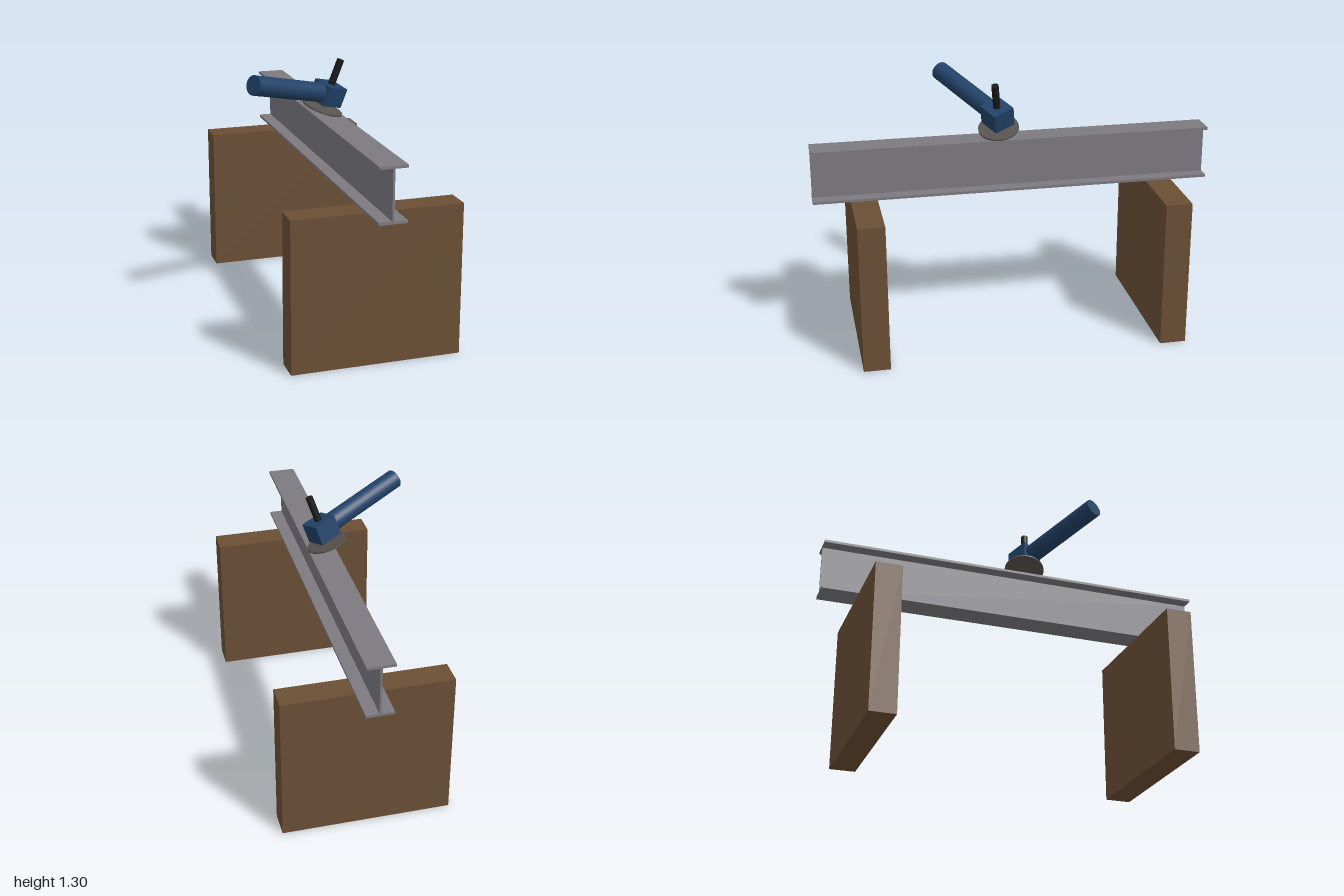
import * as THREE from 'three';

const material = (name, color) => {
  const m = new THREE.MeshStandardMaterial({ color });
  m.name = name;
  return m;
};

export function createModel() {
  const wood = material('brown wood', 0x6b4f35);
  const steel = material('grey steel', 0x7c7a80);
  const blue = material('blue casing', 0x224268);
  const black = material('black grip', 0x1b1b1b);
  const abrasive = material('abrasive disc', 0x58534e);

  const model = new THREE.Group();
  model.name = 'beamAndGrinder';

  const add = (parent, name, geometry, mat, x, y, z) => {
    const mesh = new THREE.Mesh(geometry, mat);
    mesh.name = name;
    mesh.position.set(x, y, z);
    parent.add(mesh);
    return mesh;
  };

  // Two slab supports
  for (const side of [1, -1]) {
    add(model, side > 0 ? 'frontSupport' : 'backSupport',
      new THREE.BoxGeometry(0.832, 0.751, 0.132), wood, 0.021, 0.3755, side * 0.75);
  }

  // I-beam: one section extruded along z
  const half = 0.068, web = 0.005, bottom = 0.751, top = 1.018, flange = 0.013;
  const section = new THREE.Shape([
    [-half, bottom], [half, bottom], [half, bottom + flange], [web, bottom + flange],
    [web, top - flange], [half, top - flange], [half, top], [-half, top],
    [-half, top - flange], [-web, top - flange], [-web, bottom + flange], [-half, bottom + flange],
  ].map(([x, y]) => new THREE.Vector2(x, y)));
  add(model, 'steelBeam',
    new THREE.ExtrudeGeometry(section, { depth: 2, bevelEnabled: false }), steel, 0.021, 0, -1);

  // Angle grinder, built with its body along local x and its spindle along local y
  const grinder = new THREE.Group();
  grinder.name = 'angleGrinder';
  const body = new THREE.Vector3(-0.868, 0.235, 0.437).normalize();
  const spindle = new THREE.Vector3(0.302, 0.943, 0.132);
  spindle.addScaledVector(body, -spindle.dot(body)).normalize();
  const across = new THREE.Vector3().crossVectors(body, spindle);
  grinder.quaternion.setFromRotationMatrix(new THREE.Matrix4().makeBasis(body, spindle, across));
  grinder.position.set(0.02, 1.129, 0.072);
  model.add(grinder);

  add(grinder, 'gearHead', new THREE.BoxGeometry(0.122, 0.1, 0.115), blue, 0, 0, 0);
  add(grinder, 'motorBody',
    new THREE.CylinderGeometry(0.048, 0.048, 0.46, 32).rotateZ(-Math.PI / 2), blue, 0.273, 0, 0);
  add(grinder, 'sideHandle', new THREE.CylinderGeometry(0.018, 0.018, 0.15, 24), black, 0, 0.105, 0);
  add(grinder, 'grindingDisc', new THREE.CylinderGeometry(0.102, 0.102, 0.008, 40), abrasive, 0, -0.079, 0);

  return model;
}
